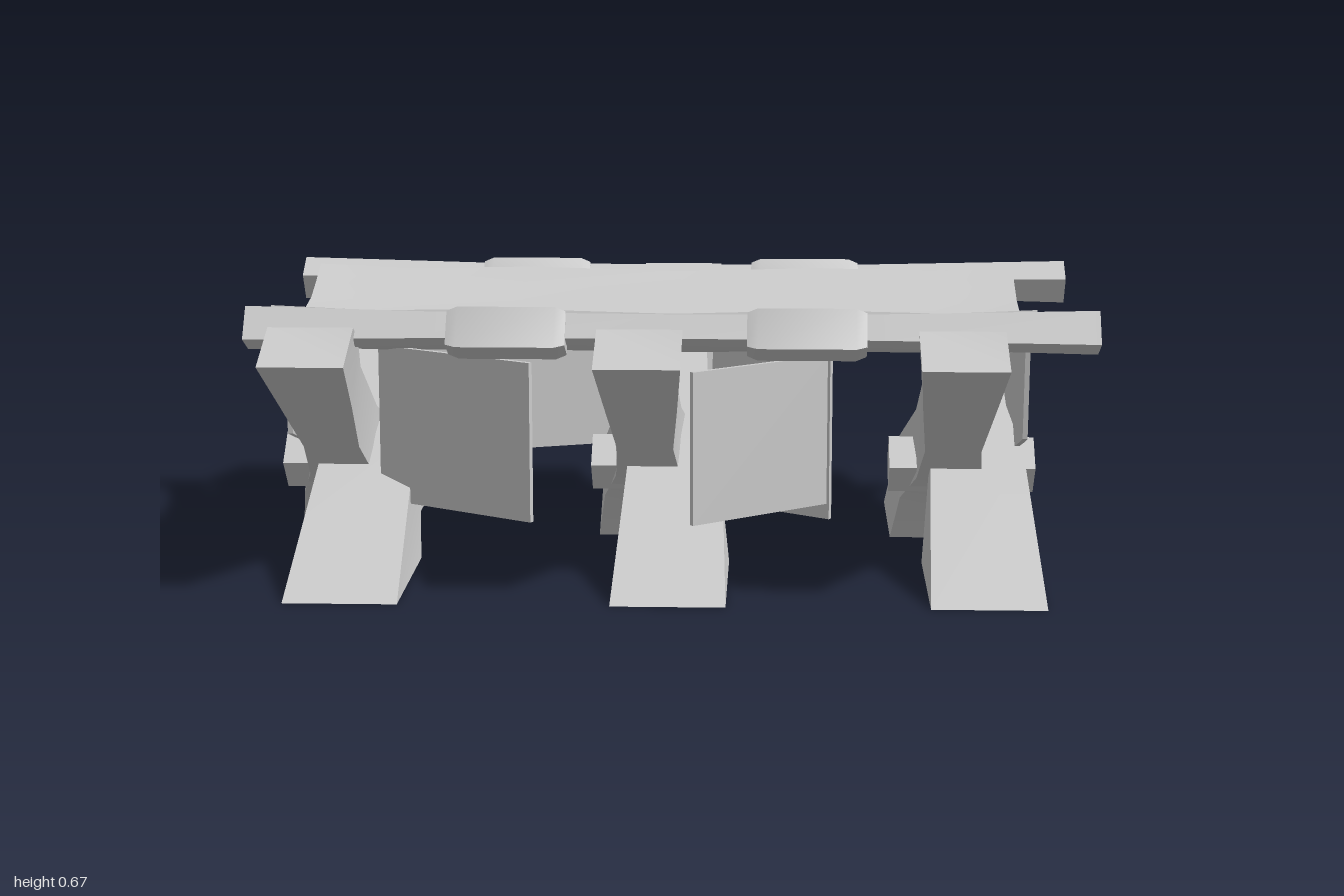
import * as THREE from 'three';
import { toCreasedNormals } from 'three/addons/utils/BufferGeometryUtils.js';

// Closed solid skinned over rings of [x, y, z]; a ring runs along one edge and back along the other.
function loft(rings) {
  const n = rings[0].length;
  const tris = [];
  const quad = (a, b, c, d) => tris.push([a, b, c], [a, c, d]);
  for (let r = 0; r < rings.length - 1; r++) {
    for (let i = 0; i < n; i++) {
      const j = (i + 1) % n;
      quad(rings[r][i], rings[r][j], rings[r + 1][j], rings[r + 1][i]);
    }
  }
  const first = rings[0], last = rings[rings.length - 1];
  for (let i = 0; i < n / 2 - 1; i++) {
    quad(first[i], first[n - 1 - i], first[n - 2 - i], first[i + 1]);
    quad(last[i], last[i + 1], last[n - 2 - i], last[n - 1 - i]);
  }
  // Turn the faces outward whichever way the rings run.
  let volume = 0;
  for (const [a, b, c] of tris) {
    volume += new THREE.Vector3(...a).dot(new THREE.Vector3(...b).cross(new THREE.Vector3(...c)));
  }
  if (volume < 0) tris.forEach((t) => t.reverse());
  const geo = new THREE.BufferGeometry();
  geo.setAttribute('position', new THREE.Float32BufferAttribute(tris.flat(2), 3));
  return toCreasedNormals(geo, 0.9);
}

// Plank leg: stations of [upper z, upper y, lower z, lower y, half width].
function legGeometry(side, footOuter, footInner, tipZ, tipY) {
  const stations = [
    [footOuter, 0, footInner, 0, 0.135],
    [0.1, 0.265, 0.01, 0.125, 0.115],
    [-0.03, 0.36, -0.1, 0.2, 0.08],
    [-0.2, 0.49, -0.25, 0.3, 0.068],
    [-0.34, 0.585, -0.45, 0.435, 0.085],
    [tipZ, tipY, -0.655, 0.568, 0.1],
  ];
  return loft(stations.map(([uz, uy, lz, ly, w]) => [
    [-w, uy, uz * side], [w, uy, uz * side], [w, ly, lz * side], [-w, ly, lz * side],
  ]));
}

// Tilted square section of a rail, given x, scale, side and height.
const railRing = (x, s, side, height) => [[0.056, -0.02], [0.006, 0.052], [-0.056, 0.012], [-0.014, -0.055]]
  .map(([z, y]) => [x, height + y * s, side * (0.411 + z * s)]);

export function createModel() {
  const group = new THREE.Group();
  const material = new THREE.MeshStandardMaterial({ color: 0xcccccc });
  const add = (name, geo, x = 0, y = 0, z = 0) => {
    const mesh = new THREE.Mesh(geo, material);
    mesh.name = name;
    mesh.position.set(x, y, z);
    group.add(mesh);
    return mesh;
  };

  // Sagging cloth bed, its underside wrapping out to the rails
  const zs = [0.36, 0.28, 0.19, 0.09, 0, -0.09, -0.19, -0.27, -0.345];
  const top = [0.66, 0.625, 0.592, 0.58, 0.568, 0.58, 0.595, 0.625, 0.66];
  const bottom = [0.615, 0.57, 0.535, 0.522, 0.512, 0.522, 0.535, 0.57, 0.615];
  const bedStations = [[-0.95, 0.005], [-0.7, -0.006], [-0.4, 0], [0, -0.01], [0.35, 0], [0.65, -0.006], [0.86, 0.004]];
  add('clothBed', loft(bedStations.map(([x, dy]) => [
    ...zs.map((z, i) => [x, top[i] + dy, z]),
    ...zs.map((z, i) => [x, bottom[i] + dy * 0.5, z * 1.05]).reverse(),
  ])));

  // Side rails with sleeves
  for (const side of [1, -1]) {
    add(side > 0 ? 'frontRail' : 'backRail', loft([
      [-1, 1], [-0.55, 0.78], [0, 0.72], [0.5, 0.78], [1, 1],
    ].map(([x, s]) => railRing(x, s, side, 0.62))));
    for (const cx of [-0.385, 0.32]) {
      add('railSleeve', loft([[-0.14, 1], [-0.115, 1.2], [0.115, 1.2], [0.14, 1]]
        .map(([x, s]) => railRing(cx + x, s, side, 0.611))));
    }
  }

  // Three pairs of crossed legs, each with a square pivot peg
  const risingBack = legGeometry(1, 0.6, 0.16, -0.46, 0.655);
  const risingFront = legGeometry(-1, 0.5, 0.1, -0.5, 0.635);
  const pegs = [[-0.98, -0.69], [-0.21, 0.07], [0.53, 0.89]];
  [-0.765, 0, 0.745].forEach((x, i) => {
    add('legRisingBack', risingBack, x);
    add('legRisingFront', risingFront, x - 0.068);
    const [a, b] = pegs[i];
    const peg = add('pivotPeg', new THREE.BoxGeometry(b - a, 0.098, 0.098), (a + b) / 2, 0.222, 0.035);
    peg.rotation.x = 0.72;
  });

  // Cloth aprons closing both ends
  for (const x of [-0.925, 0.845]) {
    const outline = [
      [0.31, 0.585], [0.19, 0.55], [0.05, 0.53], [-0.17, 0.55], [-0.28, 0.585],
      [-0.3, 0.345], [-0.17, 0.315], [0.05, 0.27], [0.19, 0.31], [0.29, 0.34],
    ];
    add('endApron', loft([x - 0.006, x + 0.006].map((px) => outline.map(([z, y]) => [px, y, z]))));
  }

  // Slanted cloth panels hanging below the rails: [x1, z1, x2, z2, bottom, top]
  for (const [x1, z1, x2, z2, low, high] of [
    [-0.72, 0.18, -0.33, 0.415, 0.155, 0.54],
    [0.05, 0.415, 0.37, 0.17, 0.15, 0.52],
    [0.05, -0.41, 0.39, -0.19, 0.025, 0.52],
    [-0.68, -0.23, -0.17, -0.41, 0.18, 0.52],
  ]) {
    const panel = add('hangingPanel',
      new THREE.BoxGeometry(Math.hypot(x2 - x1, z2 - z1), high - low, 0.012),
      (x1 + x2) / 2, (high + low) / 2, (z1 + z2) / 2);
    panel.rotation.y = -Math.atan2(z2 - z1, x2 - x1);
  }

  return group;
}
